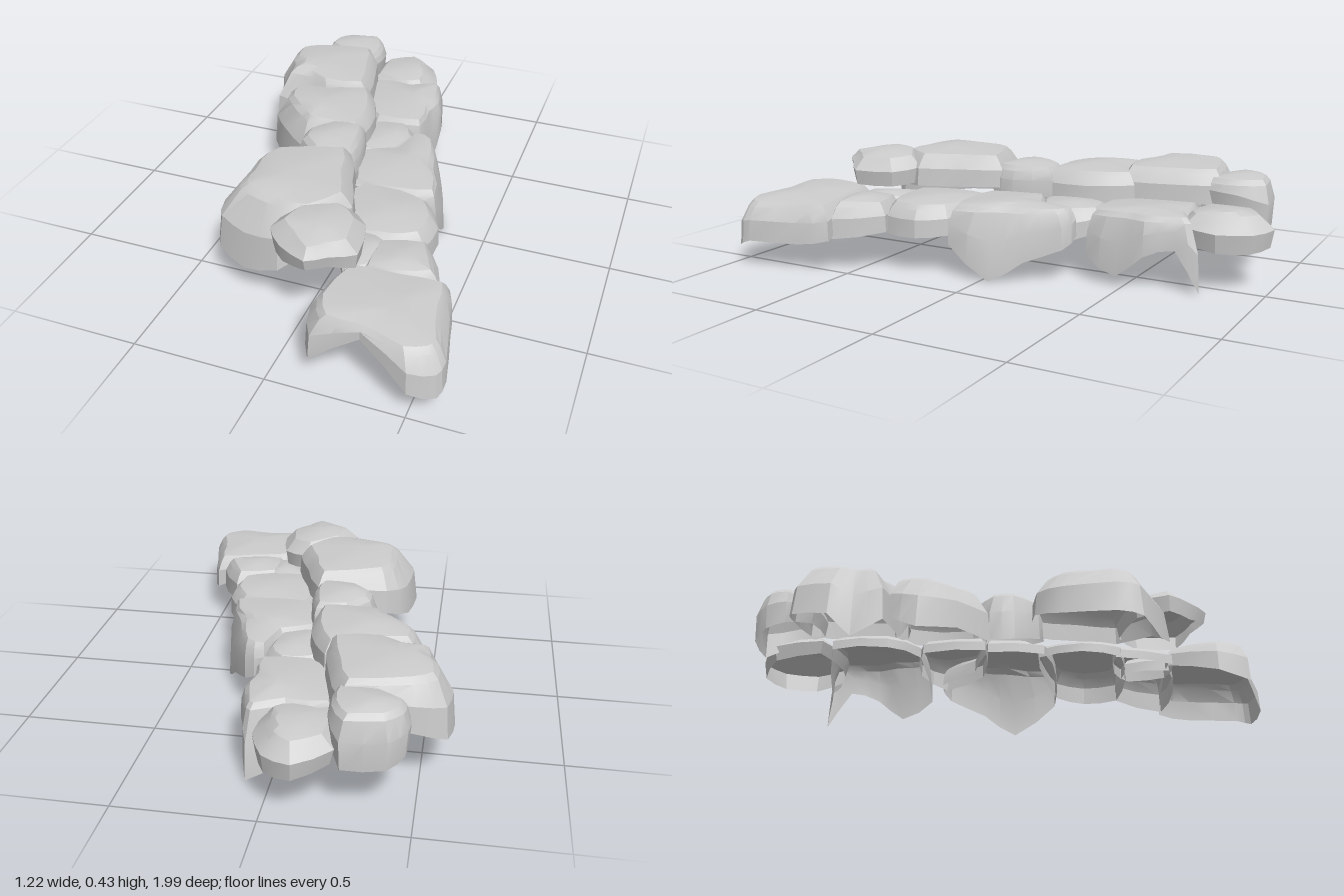
import * as THREE from 'three';
import { toCreasedNormals } from 'three/addons/utils/BufferGeometryUtils.js';

const material = new THREE.MeshStandardMaterial({ color: 0xcccccc, side: THREE.DoubleSide });

// An open stone shell from a clockwise plan outline of [x, z, lower edge y] points.
// slope tilts the top along x, flare leans deep skirts outwards, tuck draws the lower edge in.
function stone(name, top, outline, { slope = 0, flare = 1, tuck = 0 } = {}) {
  const curve = new THREE.CatmullRomCurve3(
    outline.map(([x, z, y]) => new THREE.Vector3(x, y, z)), true, 'catmullrom', 0.3);
  const n = outline.length * 2;
  const rim = Array.from({ length: n }, (_, i) => curve.getPoint(i / n));
  const centre = new THREE.Vector3();
  rim.forEach((p) => centre.addScaledVector(p, 1 / n));
  const topAt = (x) => top + slope * (x - centre.x);

  // A ring pulled towards the centre by a distance that depends on skirt depth
  const ring = (inset, height) => rim.map((p) => {
    const depth = topAt(p.x) - p.y;
    const dx = centre.x - p.x, dz = centre.z - p.z, length = Math.hypot(dx, dz);
    const t = inset(depth, length) / length;
    const x = p.x + dx * t;
    return new THREE.Vector3(x, height(topAt(x), p.y), p.z + dz * t);
  });
  const lean = (d, l) => Math.min(flare * d * d, 0.1, l * 0.35);
  const rings = [
    ring(() => tuck, (t, b) => b),
    ring((d, l) => 0.2 * lean(d, l), (t, b) => b + (t - b) * 0.5),
    ring((d, l) => 0.004 + lean(d, l), (t) => t - 0.035),
    ring((d, l) => 0.02 + 1.15 * lean(d, l), (t) => t - 0.015),
    ring((d, l) => l * 0.65, (t) => t - 0.003),
  ];
  const vertices = rings.flat();
  const index = [];
  for (let r = 0; r < rings.length - 1; r++) {
    for (let i = 0; i < n; i++) {
      const a = r * n + i, b = r * n + (i + 1) % n;
      index.push(b, a, a + n, b, a + n, b + n);
    }
  }
  // Crown fan
  const last = (rings.length - 1) * n;
  const crown = vertices.push(new THREE.Vector3(centre.x, top, centre.z)) - 1;
  for (let i = 0; i < n; i++) index.push(last + (i + 1) % n, last + i, crown);

  const geometry = new THREE.BufferGeometry().setFromPoints(vertices);
  geometry.setIndex(index);
  const mesh = new THREE.Mesh(toCreasedNormals(geometry, 0.35), material);
  mesh.name = name;
  return mesh;
}

export function createModel() {
  const group = new THREE.Group();
  group.name = 'stoneLedge';

  // Upper course, back to front
  const upper = new THREE.Group();
  upper.name = 'upperCourse';
  upper.add(
    stone('upperBackStone', 0.39, [
      [-0.47, -0.84, 0.2], [-0.41, -0.91, 0.18], [-0.25, -0.93, 0.18], [-0.20, -0.82, 0.25],
      [-0.21, -0.69, 0.27], [-0.36, -0.69, 0.26], [-0.47, -0.76, 0.22]],
    { flare: 0.5, tuck: 0.01 }),
    stone('upperLargeStone', 0.418, [
      [-0.59, -0.68, 0.18], [-0.48, -0.73, 0.22], [-0.23, -0.75, 0.27], [-0.17, -0.6, 0.27],
      [-0.13, -0.38, 0.27], [-0.3, -0.33, 0.25], [-0.41, -0.33, 0.14],
      [-0.55, -0.35, 0.15], [-0.575, -0.46, 0.08], [-0.61, -0.54, 0.16]]),
    stone('upperMiddleStone', 0.395, [
      [-0.47, -0.36, 0.2], [-0.3, -0.38, 0.26], [-0.13, -0.43, 0.27], [-0.05, -0.26, 0.26],
      [-0.05, -0.08, 0.26], [-0.2, -0.05, 0.24], [-0.29, -0.01, 0.15], [-0.41, -0.11, 0.16],
      [-0.51, -0.24, 0.13]]),
    stone('upperSmallStone', 0.4, [
      [-0.28, -0.02, 0.17], [-0.17, -0.11, 0.26], [-0.04, -0.11, 0.27], [-0.005, 0.05, 0.26],
      [-0.03, 0.15, 0.26], [-0.18, 0.16, 0.2], [-0.28, 0.08, 0.16]], { flare: 0.6 }),
    stone('upperFrontStone', 0.432, [
      [-0.38, 0.27, 0.2], [-0.3, 0.16, 0.24], [-0.02, 0.1, 0.29], [0.05, 0.27, 0.29],
      [0.11, 0.43, 0.29], [0.02, 0.58, 0.27], [-0.1, 0.65, 0.18], [-0.25, 0.62, 0.13],
      [-0.37, 0.57, 0.165], [-0.4, 0.48, 0.18]], { flare: 1.3 }),
    stone('upperEndStone', 0.425, [
      [-0.08, 0.52, 0.31], [0.08, 0.43, 0.3], [0.19, 0.5, 0.29], [0.22, 0.67, 0.29],
      [0.14, 0.74, 0.32], [0.07, 0.8, 0.33], [-0.05, 0.74, 0.3], [-0.12, 0.66, 0.31]],
    { slope: -0.1, flare: 2, tuck: 0.015 }),
  );

  // Lower course, back to front, running in under the upper one
  const lower = new THREE.Group();
  lower.name = 'lowerCourse';
  lower.add(
    stone('lowerBackStone', 0.295, [
      [-0.24, -0.9, 0.18], [-0.11, -1.0, 0.16], [0.0, -0.95, 0.15], [0.06, -0.82, 0.15],
      [0.03, -0.68, 0.17], [-0.06, -0.65, 0.19], [-0.23, -0.7, 0.2]],
    { flare: 2.2, tuck: 0.02 }),
    stone('lowerWideStone', 0.295, [
      [-0.2, -0.67, 0.22], [-0.05, -0.71, 0.07], [0.09, -0.78, 0.005], [0.11, -0.69, 0.16],
      [0.145, -0.58, 0.13], [0.14, -0.47, 0.04], [0.12, -0.34, 0.1], [-0.08, -0.34, 0.21],
      [-0.18, -0.45, 0.22]], { flare: 0.5 }),
    stone('lowerSmallStone', 0.285, [
      [-0.12, -0.32, 0.21], [0.05, -0.37, 0.19], [0.13, -0.28, 0.15],
      [0.09, -0.12, 0.18], [-0.1, -0.07, 0.21]]),
    stone('lowerMiddleStone', 0.297, [
      [0.12, -0.3, 0.17], [0.2, -0.28, 0.13], [0.27, -0.15, 0.08], [0.325, -0.03, 0.005],
      [0.335, 0.14, 0.13], [0.17, 0.17, 0.2], [0.0, 0.15, 0.22], [-0.06, -0.07, 0.22],
      [0.07, -0.15, 0.2]], { flare: 0.6 }),
    stone('lowerRoundStone', 0.29, [
      [0.03, 0.12, 0.22], [0.2, 0.12, 0.2], [0.32, 0.15, 0.16], [0.385, 0.26, 0.15],
      [0.37, 0.4, 0.15], [0.25, 0.45, 0.19], [0.06, 0.45, 0.21], [0.0, 0.3, 0.22]]),
    stone('lowerNarrowStone', 0.28, [
      [0.06, 0.43, 0.21], [0.2, 0.41, 0.2], [0.27, 0.46, 0.19], [0.26, 0.61, 0.19],
      [0.15, 0.65, 0.2]]),
    stone('lowerWedgeStone', 0.288, [
      [0.21, 0.45, 0.2], [0.39, 0.39, 0.16], [0.49, 0.58, 0.13], [0.36, 0.64, 0.17],
      [0.21, 0.63, 0.2]]),
    stone('lowerEndStone', 0.288, [
      [0.16, 0.63, 0.2], [0.34, 0.6, 0.2], [0.52, 0.57, 0.13], [0.56, 0.7, 0.11],
      [0.605, 0.9, 0.11], [0.59, 0.96, 0.085], [0.5, 1.0, 0.11], [0.32, 0.935, 0.23],
      [0.14, 0.95, 0.1], [0.1, 0.83, 0.14]], { slope: -0.06 }),
  );

  group.add(upper, lower);
  return group;
}
